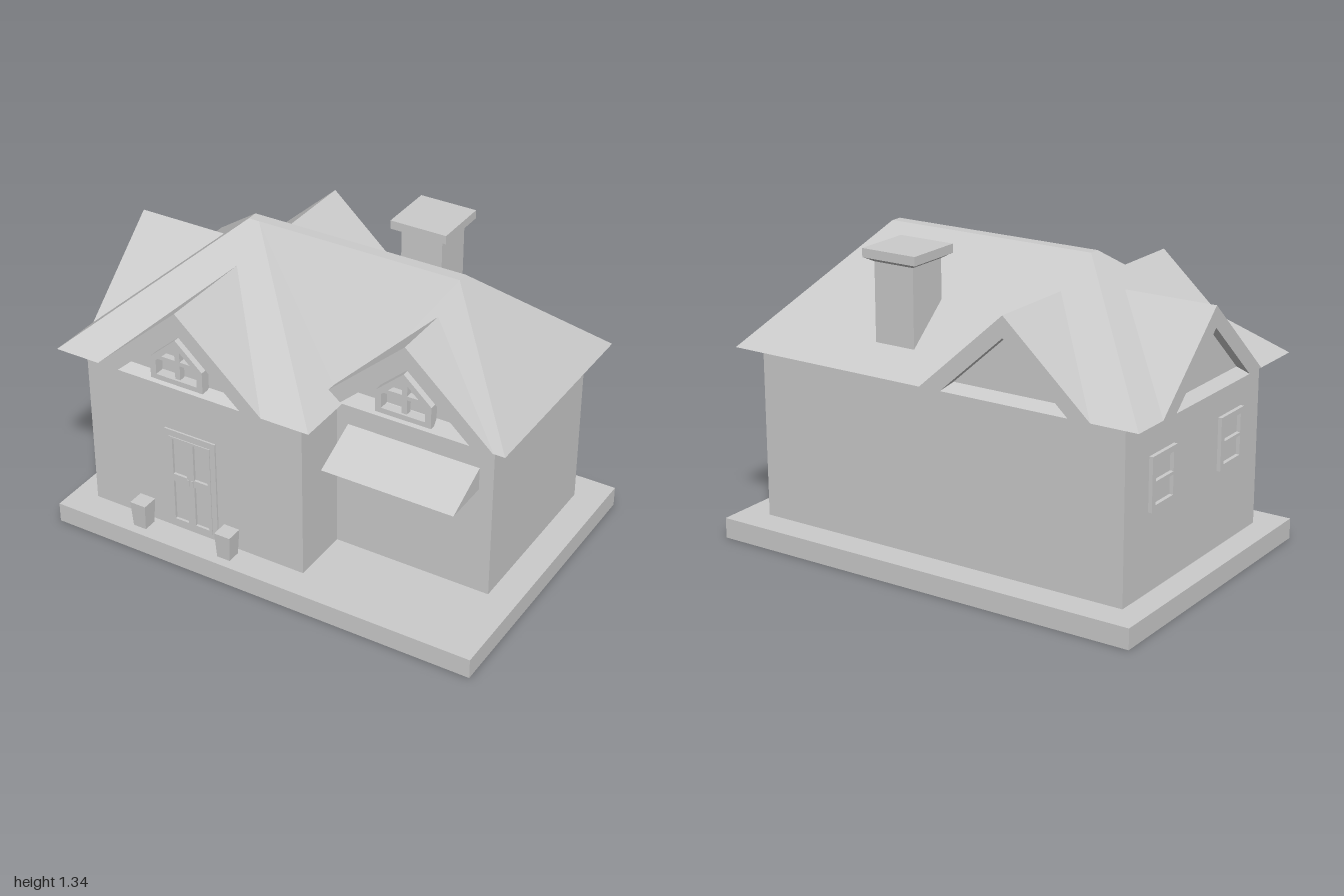
import * as THREE from 'three';

const mat = new THREE.MeshStandardMaterial({ color: 0xcccccc, flatShading: true, side: THREE.DoubleSide });

function add(parent, name, geometry, x = 0, y = 0, z = 0) {
  const mesh = new THREE.Mesh(geometry, mat);
  mesh.name = name;
  mesh.position.set(x, y, z);
  parent.add(mesh);
  return mesh;
}
const box = (w, h, d) => new THREE.BoxGeometry(w, h, d);
const points = (list) => list.map(([x, y]) => new THREE.Vector2(x, y));
const rect = (x0, y0, x1, y1) => [[x0, y0], [x1, y0], [x1, y1], [x0, y1]];

// Flat outline with optional holes, extruded along +z
function slab(outline, depth, holes = []) {
  const shape = new THREE.Shape(points(outline));
  holes.forEach((h) => shape.holes.push(new THREE.Path(points(h))));
  return new THREE.ExtrudeGeometry(shape, { depth, bevelEnabled: false });
}

// Square frustum given by full widths at top and bottom
function frustum(top, bottom, height) {
  const g = new THREE.CylinderGeometry(top / Math.SQRT2, bottom / Math.SQRT2, height, 4);
  return g.rotateY(Math.PI / 4);
}

// Convex polygons fanned from their first corner
function polygons(faces) {
  const pos = [];
  for (const f of faces)
    for (let i = 1; i < f.length - 1; i++) pos.push(...f[0], ...f[i], ...f[i + 1]);
  const g = new THREE.BufferGeometry();
  g.setAttribute('position', new THREE.Float32BufferAttribute(pos, 3));
  g.computeVertexNormals();
  return g;
}

const EAVE = 0.845, TOP = 1.33;

// L-shaped hipped roof with a narrow flat ridge
function mainRoof() {
  const A = [-0.99, EAVE, 0.61], B = [0.23, EAVE, 0.61], C = [0.23, EAVE, 0.355];
  const D = [0.955, EAVE, 0.355], E = [0.955, EAVE, -0.61], F = [-0.99, EAVE, -0.61];
  const P = [-0.43, TOP, 0], N = [-0.38, TOP, 0], Q = [0.55, TOP, 0];
  const R = [0.55, TOP, -0.05], S = [-0.43, TOP, -0.05];
  return polygons([
    [A, B, N, P], [B, C, N], [C, D, Q, N], [D, E, R, Q],
    [E, F, S, R], [F, A, P, S], [P, Q, R, S], [C, B, A, F, E, D],
  ]);
}

// Pentagon window with a cross of glazing bars, facing +z
function dormerWindow() {
  const g = new THREE.Group();
  g.name = 'dormerWindow';
  const house = (w, y0, y1, y2) => [[-w, y0], [w, y0], [w, y1], [0, y2], [-w, y1]];
  add(g, 'windowFrame', slab(house(0.125, 0.87, 0.968, 1.08), 0.045, [house(0.098, 0.893, 0.958, 1.046)]));
  add(g, 'verticalBar', box(0.024, 0.16, 0.03), 0, 0.965, 0.02);
  add(g, 'horizontalBar', box(0.2, 0.018, 0.03), 0, 0.968, 0.02);
  return g;
}

// Gabled dormer whose front edge is at local z = 0
function gable(name, x, z, turn, hasWindow) {
  const g = new THREE.Group();
  g.name = name;
  const depth = 0.46, recess = 0.04;
  add(g, 'gableRoof', slab([[-0.395, EAVE], [-0.295, EAVE], [0, 1.11], [0.295, EAVE],
    [0.395, EAVE], [0, 1.2]], depth), 0, 0, -depth);
  add(g, 'gableWall', slab([[-0.295, EAVE], [0.295, EAVE], [0, 1.11]], 0.03), 0, 0, -recess - 0.03);
  if (hasWindow) {
    const w = dormerWindow();
    w.position.z = -recess;
    g.add(w);
  }
  g.position.set(x, 0, z);
  g.rotation.y = turn;
  return g;
}

// Double door with four glazed openings, facing +z
function frontDoor() {
  const g = new THREE.Group();
  g.name = 'frontDoor';
  add(g, 'doorFrame', slab(rect(-0.125, 0.1, 0.125, 0.585), 0.008, [rect(-0.1, 0.12, 0.1, 0.555)]));
  const holes = [];
  for (const s of [-1, 1]) {
    const a = Math.min(s * 0.018, s * 0.085), b = Math.max(s * 0.018, s * 0.085);
    holes.push(rect(a, 0.14, b, 0.335), rect(a, 0.37, b, 0.545));
    add(g, 'doorHandle', box(0.008, 0.03, 0.008), s * 0.01, 0.35, 0.012);
  }
  add(g, 'doorLeaves', slab(rect(-0.1, 0.12, 0.1, 0.555), 0.012, holes));
  g.position.set(-0.385, 0, 0.54);
  return g;
}

// Sash window for the side wall, facing +z before turning
function sideWindow(z) {
  const g = new THREE.Group();
  g.name = 'sideWindow';
  add(g, 'windowFrame', slab(rect(-0.095, 0.43, 0.095, 0.66), 0.017,
    [rect(-0.068, 0.455, 0.068, 0.54), rect(-0.068, 0.553, 0.068, 0.635)]));
  g.position.set(-0.89, 0, z);
  g.rotation.y = -Math.PI / 2;
  return g;
}

export function createModel() {
  const house = new THREE.Group();
  house.name = 'house';

  // Ground slab and L-shaped walls
  add(house, 'baseSlab', box(2, 0.09, 1.34), 0, 0.045, 0);
  const plan = [[-0.89, -0.54], [0.155, -0.54], [0.155, -0.27], [0.87, -0.27], [0.87, 0.535], [-0.89, 0.535]];
  add(house, 'walls', slab(plan, EAVE - 0.09).rotateX(-Math.PI / 2), 0, 0.09, 0);

  // Roof and its four gables
  add(house, 'mainRoof', mainRoof());
  house.add(
    gable('frontLeftGable', -0.385, 0.61, 0, true),
    gable('frontRightGable', 0.51, 0.358, 0, true),
    gable('backGable', -0.385, -0.61, Math.PI, false),
    gable('sideGable', -0.99, -0.035, -Math.PI / 2, false),
  );

  // Chimney
  const chimney = new THREE.Group();
  chimney.name = 'chimney';
  add(chimney, 'chimneyShaft', box(0.19, 0.4, 0.19), 0, 1.09, 0);
  add(chimney, 'chimneyFlare', frustum(0.258, 0.19, 0.02), 0, 1.293, 0);
  add(chimney, 'chimneyCap', box(0.258, 0.038, 0.258), 0, 1.321, 0);
  chimney.position.set(0.214, 0, -0.397);
  house.add(chimney);

  // Door, side windows and wedge awning
  house.add(frontDoor(), sideWindow(-0.26), sideWindow(0.29));
  const awning = slab([[0, 0.59], [0, 0.692], [-0.21, 0.59]], 0.6).rotateY(Math.PI / 2);
  add(house, 'awning', awning, 0.207, 0, 0.27);

  // Planters beside the door
  for (const x of [-0.605, -0.18])
    add(house, 'planter', frustum(0.075, 0.062, 0.12), x, 0.15, 0.597);

  return house;
}
